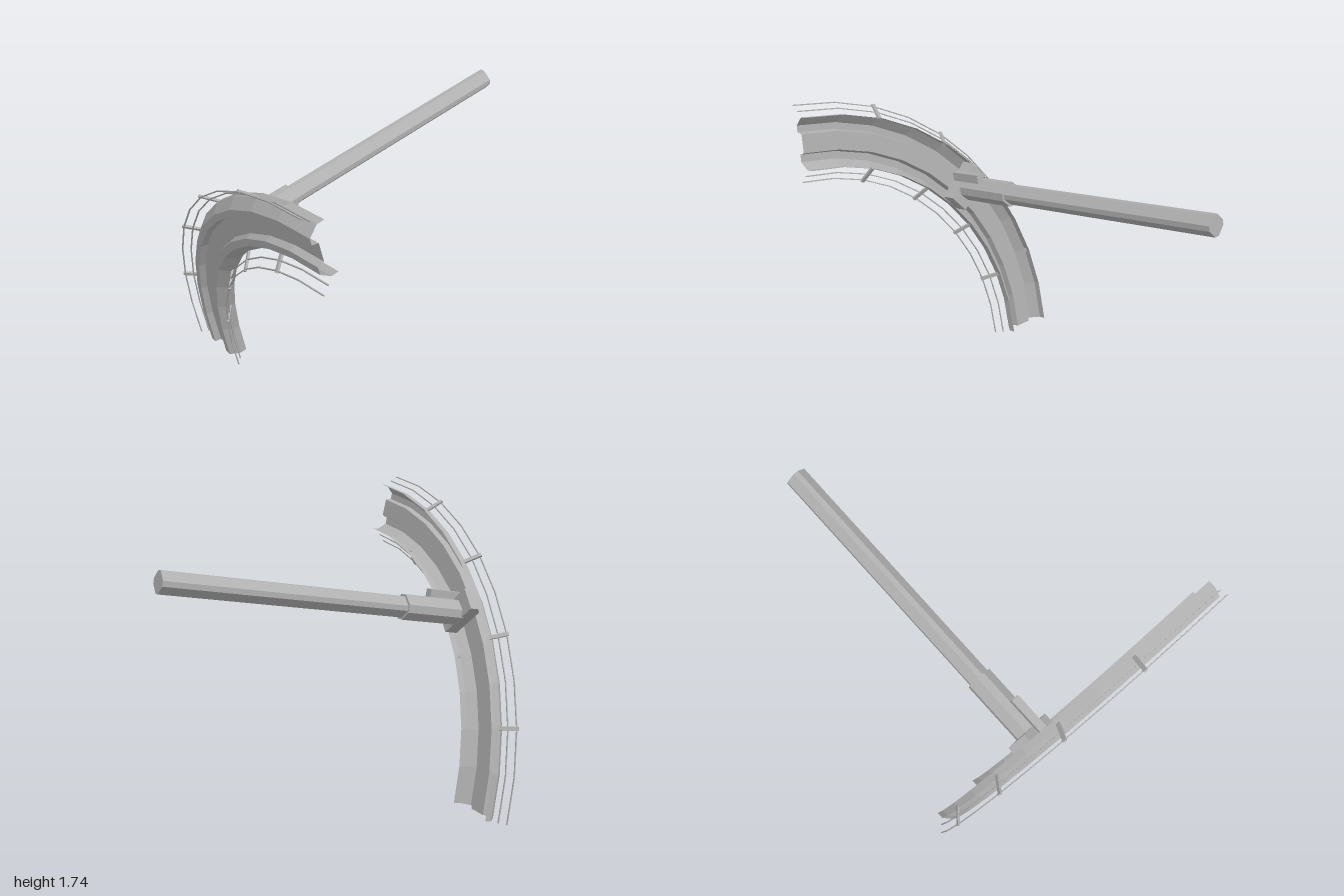
import * as THREE from 'three';

const CX = 0.91, CY = 0.08;            // centre of the bend
const RAD = Math.PI / 180;
const START = -2.5, STEP = 8.75, SEGMENTS = 10;

// Sweeps a profile of [radius, depth] points round the bend
function sweep(profile) {
  const at = ([r, z], i) => {
    const a = (START + STEP * i) * RAD;
    return [CX - r * Math.cos(a), CY + r * Math.sin(a), z];
  };
  const pos = [];
  for (let i = 0; i < SEGMENTS; i++) {
    for (let j = 0; j < profile.length - 1; j++) {
      const a = at(profile[j], i), b = at(profile[j + 1], i);
      const c = at(profile[j + 1], i + 1), d = at(profile[j], i + 1);
      pos.push(...a, ...d, ...c, ...a, ...c, ...b);
    }
  }
  const g = new THREE.BufferGeometry();
  g.setAttribute('position', new THREE.Float32BufferAttribute(pos, 3));
  g.computeVertexNormals();
  return g;
}

// Diamond bar with blunted corners, running along z
function bar(half, flat, z0, z1) {
  const s = new THREE.Shape([
    [half, -flat], [half, flat], [flat, half], [-flat, half],
    [-half, flat], [-half, -flat], [-flat, -half], [flat, -half],
  ].map(([x, y]) => new THREE.Vector2(x, y)));
  return new THREE.ExtrudeGeometry(s, { depth: z1 - z0, bevelEnabled: false }).translate(0, 0, z0);
}

export function createModel() {
  const model = new THREE.Group();
  const tilted = new THREE.Group();
  tilted.name = 'tiltedAssembly';
  tilted.rotation.x = 10 * RAD;
  tilted.position.set(0, -0.005, 0.7);
  model.add(tilted);

  const steel = new THREE.MeshStandardMaterial({ color: 0xb0b0b0, flatShading: true, side: THREE.DoubleSide });
  steel.name = 'grey steel';
  const add = (geometry, name, parent = tilted) => {
    const m = new THREE.Mesh(geometry, steel);
    m.name = name;
    parent.add(m);
    return m;
  };

  // Pressed beam: folded lips, two raised bands and a recessed web
  add(sweep([
    [1.64, -0.1], [1.64, -0.06], [1.595, -0.01], [1.56, -0.01], [1.55, -0.045],
    [1.45, -0.045], [1.44, -0.01], [1.4, -0.01], [1.36, -0.06], [1.36, -0.1],
  ]), 'curvedBeam');

  // Thin wires alongside both edges
  const w = 0.003;
  for (const [r, z, name] of [
    [1.7, 0, 'outerFrontWire'], [1.67, -0.035, 'outerBackWire'],
    [1.325, -0.035, 'innerBackWire'], [1.29, 0, 'innerFrontWire'],
  ]) {
    add(sweep([[r - w, z - w], [r + w, z - w], [r + w, z + w], [r - w, z + w], [r - w, z - w]]), name);
  }

  // Slanted brackets that carry the wires
  const bracket = (parent, r0, z0, r1, z1, name) => {
    const m = add(new THREE.BoxGeometry(Math.hypot(r1 - r0, z1 - z0), 0.022, 0.012), name, parent);
    m.position.set((r0 + r1) / 2, 0, (z0 + z1) / 2);
    m.rotation.y = -Math.atan2(z1 - z0, r1 - r0);
  };
  const radialGroup = (angle, name) => {
    const g = new THREE.Group();
    g.name = name;
    g.position.set(CX, CY, 0);
    g.rotation.z = Math.PI - angle * RAD;
    tilted.add(g);
    return g;
  };
  for (let k = 0; k < 4; k++) {
    const g = radialGroup(15 + 17.5 * k, 'bracketPair');
    bracket(g, 1.635, -0.075, 1.71, 0.005, 'outerBracket');
    bracket(g, 1.365, -0.075, 1.28, 0.005, 'innerBracket');
  }

  // Saddle plate across the back of the beam
  const saddle = radialGroup(41, 'saddle');
  add(new THREE.BoxGeometry(0.25, 0.13, 0.08), 'saddlePlate', saddle).position.set(1.5, 0, -0.1);

  // Long support arm with a thicker sleeve at its foot
  const arm = new THREE.Group();
  arm.name = 'supportArm';
  arm.position.set(-0.221, 1.055, 0);
  tilted.add(arm);
  add(bar(0.057, 0.014, -1.915, -0.12), 'armBar', arm);
  add(bar(0.068, 0.022, -0.5, -0.12), 'armSleeve', arm);
  add(new THREE.BoxGeometry(0.045, 0.05, 0.21), 'sleeveBlock', arm).position.set(0.045, 0.085, -0.2);

  return model;
}
